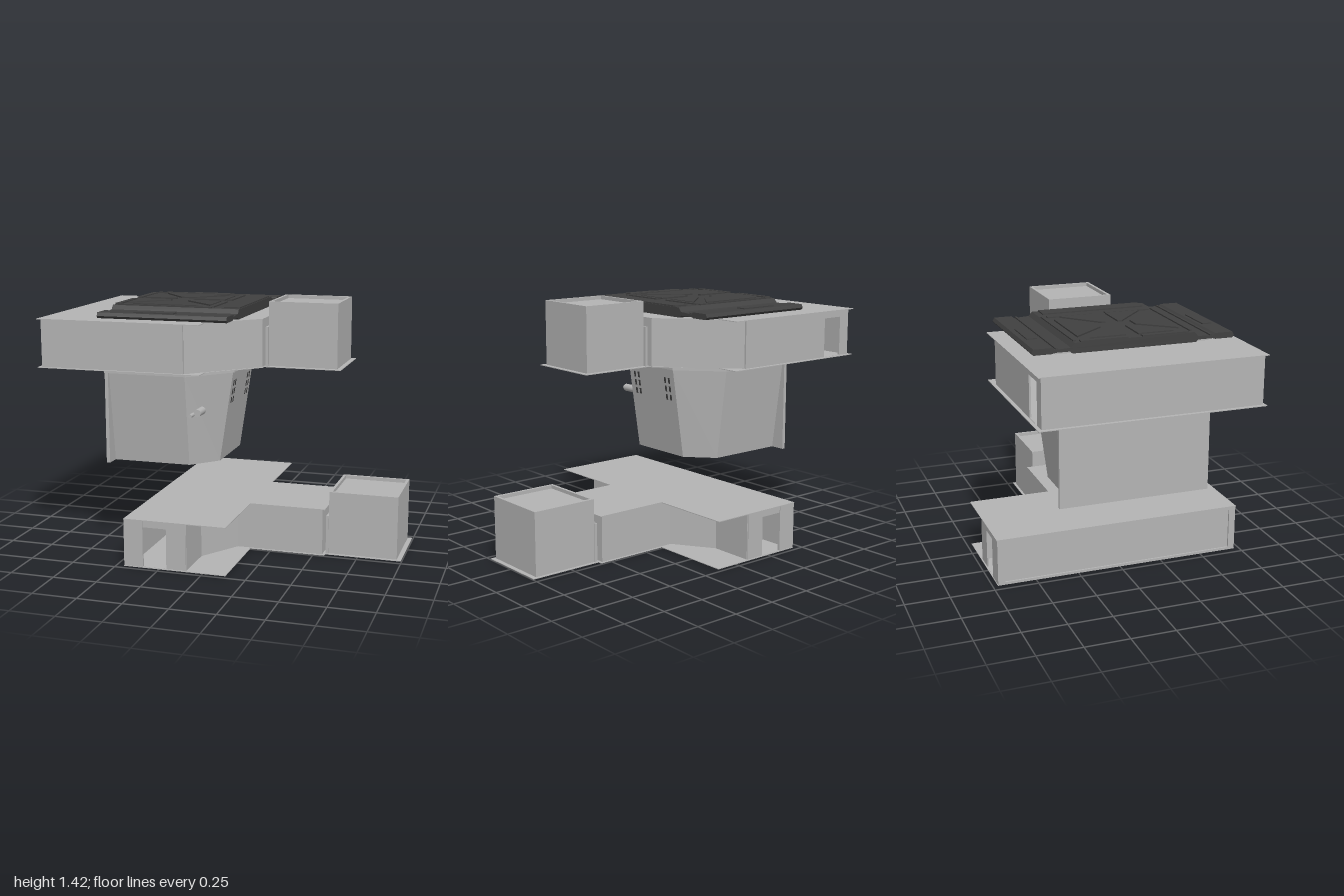
import * as THREE from 'three';

export function createModel() {
  const model = new THREE.Group();
  const grey = new THREE.MeshStandardMaterial({ color: 0xb4b4b4, side: THREE.DoubleSide });
  grey.name = 'hull grey';
  const dark = new THREE.MeshStandardMaterial({ color: 0x404040, side: THREE.DoubleSide });
  dark.name = 'roof charcoal';

  function add(name, geo, mat = grey, x = 0, y = 0, z = 0) {
    const m = new THREE.Mesh(geo, mat);
    m.name = name;
    m.position.set(x, y, z);
    model.add(m);
    return m;
  }
  // box given by its limits
  function block(name, x0, x1, y0, y1, z0, z1, mat = grey) {
    return add(name, new THREE.BoxGeometry(x1 - x0, y1 - y0, z1 - z0), mat,
      (x0 + x1) / 2, (y0 + y1) / 2, (z0 + z1) / 2);
  }
  // vertical prism over a plan outline of [x, z] points
  function prism(pts, h) {
    const shape = new THREE.Shape(pts.map(([x, z]) => new THREE.Vector2(x, -z)));
    return new THREE.ExtrudeGeometry(shape, { depth: h, bevelEnabled: false }).rotateX(-Math.PI / 2);
  }
  // mirrors a half outline (z > 0) across z = 0
  const mirrored = (half) => [...half, ...half.slice().reverse().map(([x, z]) => [x, -z])];
  // thin upright wall between two plan points, with openings [u0, u1, v0, v1]
  function wall(name, a, b, y0, h, openings = []) {
    const dx = b[0] - a[0], dz = b[1] - a[1], L = Math.hypot(dx, dz), t = 0.01;
    const rect = (Type, u0, u1, v0, v1) => new Type([[u0, v0], [u1, v0], [u1, v1], [u0, v1]]
      .map(([u, v]) => new THREE.Vector2(u, v)));
    const shape = rect(THREE.Shape, 0, L, 0, h);
    for (const o of openings) shape.holes.push(rect(THREE.Path, ...o));
    const geo = new THREE.ExtrudeGeometry(shape, { depth: t, bevelEnabled: false }).translate(0, 0, -t / 2);
    add(name, geo, grey, a[0], y0, a[1]).rotation.y = -Math.atan2(dz, dx);
  }
  // square pod with a base flange, a recessed lid and a connecting collar
  function pod(name, x, y, w) {
    const x1 = x + 0.39, h = 0.365, t = 0.016;
    block(name + 'Body', x, x1, y, y + h - 0.02, -w, w);
    for (const s of [-1, 1]) {
      block(name + 'SideRim', x, x1, y + h - 0.02, y + h, s * (w - t / 2) - t / 2, s * (w - t / 2) + t / 2);
    }
    block(name + 'InnerRim', x, x + t, y + h - 0.02, y + h, -w + t, w - t);
    block(name + 'OuterRim', x1 - t, x1, y + h - 0.02, y + h, -w + t, w - t);
    block(name + 'Flange', x - 0.02, x1 + 0.025, y, y + 0.004, -0.215, 0.215);
    block(name + 'Collar', x - 0.015, x, y, y + 0.225, -0.205, 0.205);
  }

  // ---- lower deck ----
  const lowPlan = mirrored([[-0.455, 0.722], [0.13, 0.722], [0.13, 0.24], [0.565, 0.24]]);
  add('lowerFloor', prism(lowPlan, 0.004));
  add('lowerCeiling', prism(lowPlan, 0.004), grey, 0, 0.268);
  for (const s of [-1, 1]) {
    wall('lowerDoorWall', [-0.455, s * 0.71], [-0.1, s * 0.71], 0, 0.27, [[0.11, 0.245, 0.005, 0.23]]);
    block('doorPost', -0.455, -0.345, 0, 0.27, s * 0.714 - 0.005, s * 0.714 + 0.005);
    wall('lowerEndWall', [-0.1, s * 0.71], [-0.1, s * 0.455], 0, 0.27);
    wall('lowerChamferWall', [-0.1, s * 0.455], [0.05, s * 0.225], 0, 0.27);
    wall('armWall', [0.05, s * 0.225], [0.55, s * 0.225], 0, 0.27);
  }
  wall('armEndWall', [0.545, 0.225], [0.545, -0.225], 0, 0.27);
  wall('lowerBackWall', [-0.425, 0.71], [-0.425, -0.71], 0, 0.27);
  wall('lowerBackFrame', [-0.45, 0.71], [-0.45, -0.71], 0, 0.27, [[0.03, 1.39, 0.015, 0.25]]);
  pod('lowerPod', 0.58, 0, 0.2);

  // ---- tower, narrowing towards its foot ----
  const tower = prism(mirrored([[-0.67, 0.415], [-0.2, 0.415], [0.015, 0.2]]), 0.52);
  const p = tower.attributes.position;
  for (let i = 0; i < p.count; i++) {
    if (p.getY(i) > 0.1) continue;
    if (Math.abs(p.getZ(i)) > 0.3) p.setZ(i, Math.sign(p.getZ(i)) * 0.345);
    if (p.getX(i) > 0) p.setX(i, -0.065);
  }
  tower.computeVertexNormals();
  add('tower', tower, grey, 0, 0.5);
  const capPlan = mirrored([[-0.67, 0.435], [-0.19, 0.435], [0.025, 0.21]]);
  add('towerCap', prism(capPlan, 0.04), grey, 0, 1.02);

  // upright fins at the back corners, and vent slits on the outer face
  for (const s of [-1, 1]) {
    const fin = new THREE.Shape([[0.33, 0], [0.43, 0], [0.43, 0.52], [0.4, 0.52]]
      .map(([z, y]) => new THREE.Vector2(s * z, y)));
    add('towerFin', new THREE.ExtrudeGeometry(fin, { depth: 0.02, bevelEnabled: false })
      .rotateY(-Math.PI / 2), grey, -0.65, 0.5, 0);
    for (let col = 0; col < 2; col++) for (let row = 0; row < 3; row++) {
      const y = 0.85 + row * 0.05;
      const slit = add('ventSlit', new THREE.BoxGeometry(0.004, 0.034, 0.014), dark,
        -0.065 + (y - 0.5) * 0.154, y, s * (0.12 + col * 0.035));
      slit.rotation.z = -0.153;
    }
  }

  // short spout and thin pipe on the front chamfer
  const rod = (r, l) => new THREE.CylinderGeometry(r, r, l, 16).rotateX(Math.PI / 2);
  add('spout', rod(0.022, 0.09), grey, -0.13, 0.815, 0.365);
  add('pipe', rod(0.011, 0.13), grey, -0.155, 0.807, 0.395);

  // ---- upper deck ----
  const upPlan = [[-1, 0.595], [-0.055, 0.595], [-0.055, 0.5], [0.2, 0.24],
    [0.2, -0.24], [-0.055, -0.5], [-0.055, -0.64], [-1, -0.64]];
  add('upperFloor', prism(upPlan, 0.004), grey, 0, 1.06);
  add('upperCeiling', prism(upPlan, 0.004), grey, 0, 1.33);
  wall('upperFrontWall', [-0.98, 0.575], [-0.15, 0.575], 1.06, 0.27);
  wall('upperFrontChamfer', [-0.15, 0.575], [0.19, 0.23], 1.06, 0.27);
  wall('upperEndWall', [0.19, 0.23], [0.19, -0.23], 1.06, 0.27);
  wall('upperRearChamfer', [0.19, -0.23], [-0.15, -0.61], 1.06, 0.27);
  wall('upperRearWall', [-0.98, -0.615], [-0.15, -0.615], 1.06, 0.27, [[0.07, 0.2, 0.005, 0.23]]);
  wall('upperBackWall', [-0.975, 0.575], [-0.975, -0.615], 1.06, 0.27);
  pod('upperPod', 0.22, 1.06, 0.19);

  // ---- dark roof panel ----
  add('roofRiser', prism(mirrored([[-0.62, 0.43], [-0.19, 0.43], [0.025, 0.21]]), 0.022), grey, 0, 1.334);
  const half = [[0.345, 1.338], [0.355, 1.35], [0.44, 1.35], [0.455, 1.345], [0.555, 1.345],
    [0.565, 1.358], [0.555, 1.377], [0.455, 1.377], [0.44, 1.365], [0.355, 1.37], [0.335, 1.393]];
  const outline = [...half, ...half.slice().reverse().map(([z, y]) => [-z, y])];
  const profile = new THREE.Shape(outline.map(([z, y]) => new THREE.Vector2(-z, y)));
  add('roofSlab', new THREE.ExtrudeGeometry(profile, { depth: 0.74, bevelEnabled: false })
    .rotateY(Math.PI / 2), dark, -0.65, 0, 0);
  block('roofLipStrip', -0.005, 0.085, 1.393, 1.4, -0.3, 0.3, dark);
  for (const s of [-1, 1]) {
    block('railPad', -0.45, -0.22, 1.377, 1.383, s * 0.5 - 0.028, s * 0.5 + 0.028, dark);
    block('railLine', -0.65, 0.09, 1.366, 1.373, s * 0.43 - 0.006, s * 0.43 + 0.006, dark);
    block('roofEdgeBar', -0.62, -0.07, 1.393, 1.4, s * 0.325 - 0.008, s * 0.325 + 0.008, dark);
    // raised plates leaving a crossed groove
    const plates = [[[-0.55, 0.285], [-0.16, 0.285], [-0.31, 0.1], [-0.395, 0.1]],
      [[-0.6, 0.235], [-0.405, 0.06], [-0.405, 0.035], [-0.6, 0.035]],
      [[-0.105, 0.235], [-0.3, 0.06], [-0.3, 0.035], [-0.105, 0.035]]];
    for (const pts of plates) {
      add('roofPlate', prism(pts.map(([x, z]) => [x, s * z]), 0.008), dark, 0, 1.393);
    }
    for (const x of [-0.635, -0.08]) {
      block('roofClip', x - 0.015, x + 0.015, 1.393, 1.4, s * 0.17 - 0.13, s * 0.17 + 0.13, dark);
    }
  }
  return model;
}
